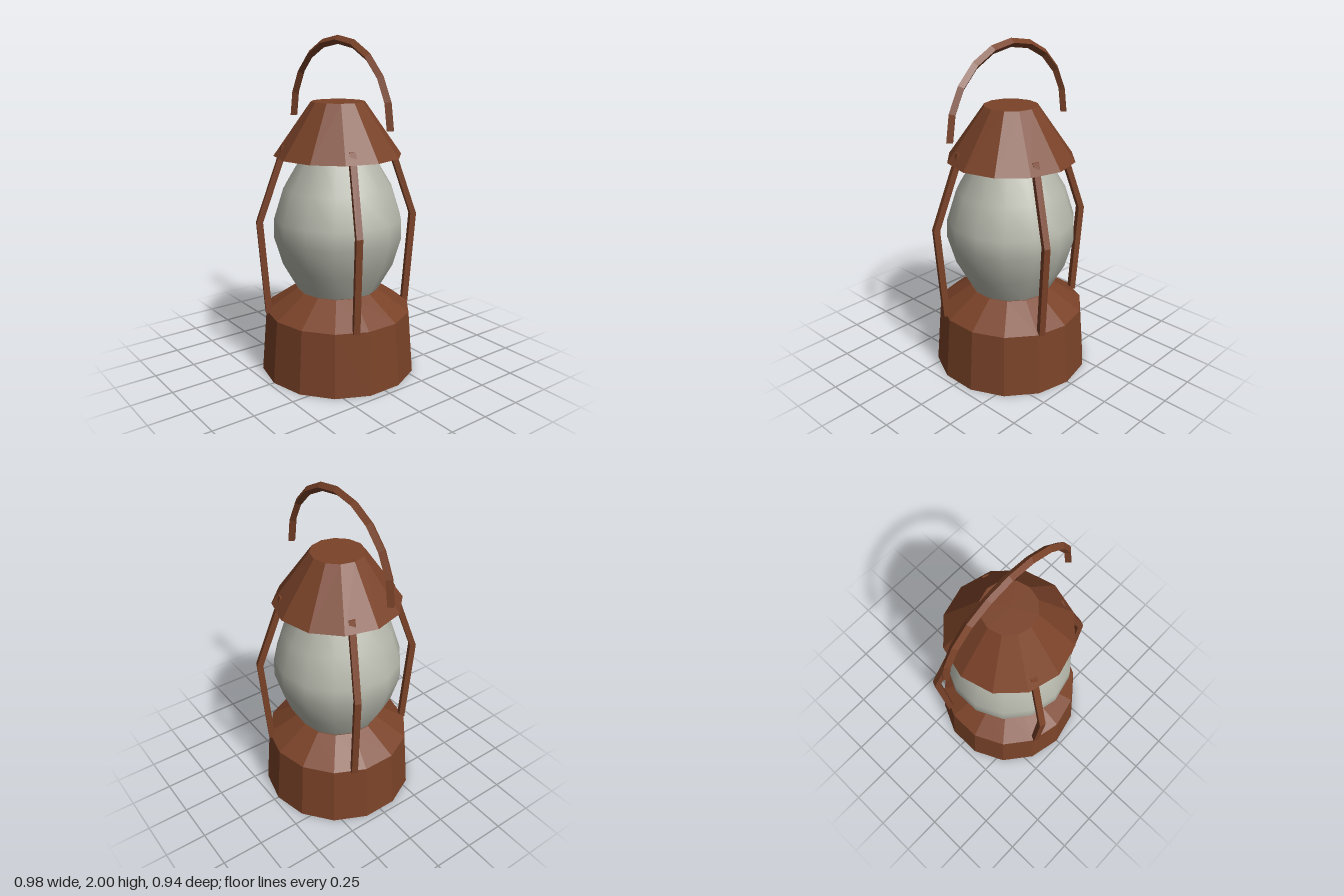
import * as THREE from 'three';

const rust = new THREE.MeshStandardMaterial({ color: 0x7a4228, flatShading: true });
const glassMat = new THREE.MeshStandardMaterial({ color: 0xb6b8ac });

function add(parent, name, geometry, material) {
  const mesh = new THREE.Mesh(geometry, material);
  mesh.name = name;
  parent.add(mesh);
  return mesh;
}

// Lathe from [radius, y] pairs, listed bottom to top
function lathe(profile, sides) {
  return new THREE.LatheGeometry(profile.map(([r, y]) => new THREE.Vector2(r, y)), sides);
}

// Square bar standing along y, bent outwards at the middle row
function bentBar(width, rows) {
  const geo = new THREE.BoxGeometry(width, 2, width, 1, 2, 1);
  const pos = geo.attributes.position;
  for (let i = 0; i < pos.count; i++) {
    const [r, y] = rows[Math.round(pos.getY(i)) + 1];
    pos.setY(i, y);
    pos.setZ(i, pos.getZ(i) + r);
  }
  geo.computeVertexNormals();
  return geo;
}

export function createModel() {
  const lantern = new THREE.Group();
  lantern.name = 'lantern';

  // Tapered base with a sloping shoulder
  add(lantern, 'base', lathe([[0, 0], [0.47, 0], [0.44, 0.38], [0.25, 0.51], [0, 0.51]], 14), rust);

  // Smooth glass globe
  add(lantern, 'glass', lathe([
    [0.24, 0.5], [0.335, 0.67], [0.385, 0.84], [0.382, 0.95], [0.325, 1.13], [0.205, 1.33],
  ], 14), glassMat);

  // Conical cap
  const cap = add(lantern, 'cap', new THREE.CylinderGeometry(0.157, 0.376, 0.31, 12), rust);
  cap.position.y = 1.475;

  // Four guard bars around the globe
  const barGeo = bentBar(0.037, [[0.428, 0.375], [0.47, 0.94], [0.313, 1.385]]);
  const guard = new THREE.Group();
  guard.name = 'guardBars';
  for (let i = 0; i < 4; i++) {
    const bar = add(guard, 'guardBar', barGeo, rust);
    bar.rotation.y = THREE.MathUtils.degToRad(67.5 + i * 90);
  }
  lantern.add(guard);

  // Arched carrying handle with a diamond section and closed ends
  const handle = new THREE.Group();
  handle.name = 'handle';
  handle.position.y = 1.51;
  add(handle, 'handleArch', new THREE.TorusGeometry(0.465, 0.025, 4, 10, Math.PI), rust);
  for (const side of [-1, 1]) {
    const end = add(handle, 'handleEnd', new THREE.CircleGeometry(0.025, 4), rust);
    end.rotation.x = Math.PI / 2;
    end.position.x = side * 0.465;
  }
  lantern.add(handle);

  return lantern;
}
